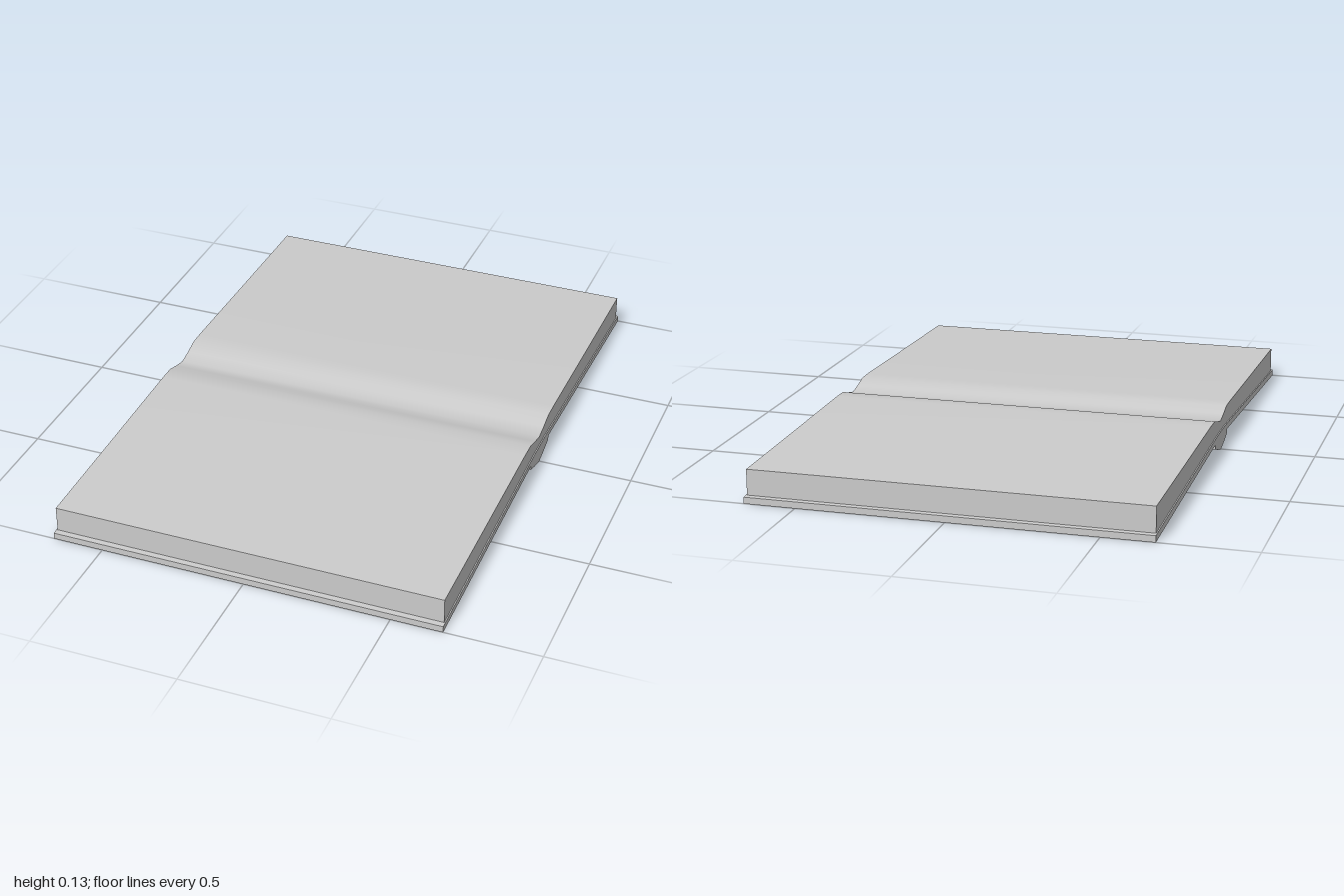
import * as THREE from 'three';
import { toCreasedNormals } from 'three/addons/utils/BufferGeometryUtils.js';

const material = new THREE.MeshStandardMaterial({ color: 0xcccccc });

// Extrudes a [z, y] half outline, mirrored over z = 0, across the given width in x.
function mirroredBar(name, half, width) {
  const mirror = half.filter(([z]) => z > 0).reverse().map(([z, y]) => [-z, y]);
  const shape = new THREE.Shape([...half, ...mirror].map(([z, y]) => new THREE.Vector2(z, y)));
  const flat = new THREE.ExtrudeGeometry(shape, { depth: width, bevelEnabled: false });
  flat.translate(0, 0, -width / 2).rotateY(-Math.PI / 2);
  const mesh = new THREE.Mesh(toCreasedNormals(flat, 0.45), material);
  mesh.name = name;
  return mesh;
}

export function createModel() {
  const book = new THREE.Group();
  book.name = 'openBook';

  // Two sloping boards joined by the bowed spine
  book.add(mirroredBar('cover', [
    [0, 0], [0.05, 0.012], [0.1, 0.028], [0.1, 0.044], [1, 0],
    [1, 0.022], [0.06, 0.066], [0, 0.066],
  ], 1.35));

  // Page block with the valley along the middle
  book.add(mirroredBar('pages', [
    [0, 0.064], [0.06, 0.064], [0.98, 0.021], [0.98, 0.11],
    [0.55, 0.119], [0.16, 0.128], [0.1, 0.127], [0.05, 0.112], [0, 0.101],
  ], 1.342));

  return book;
}
